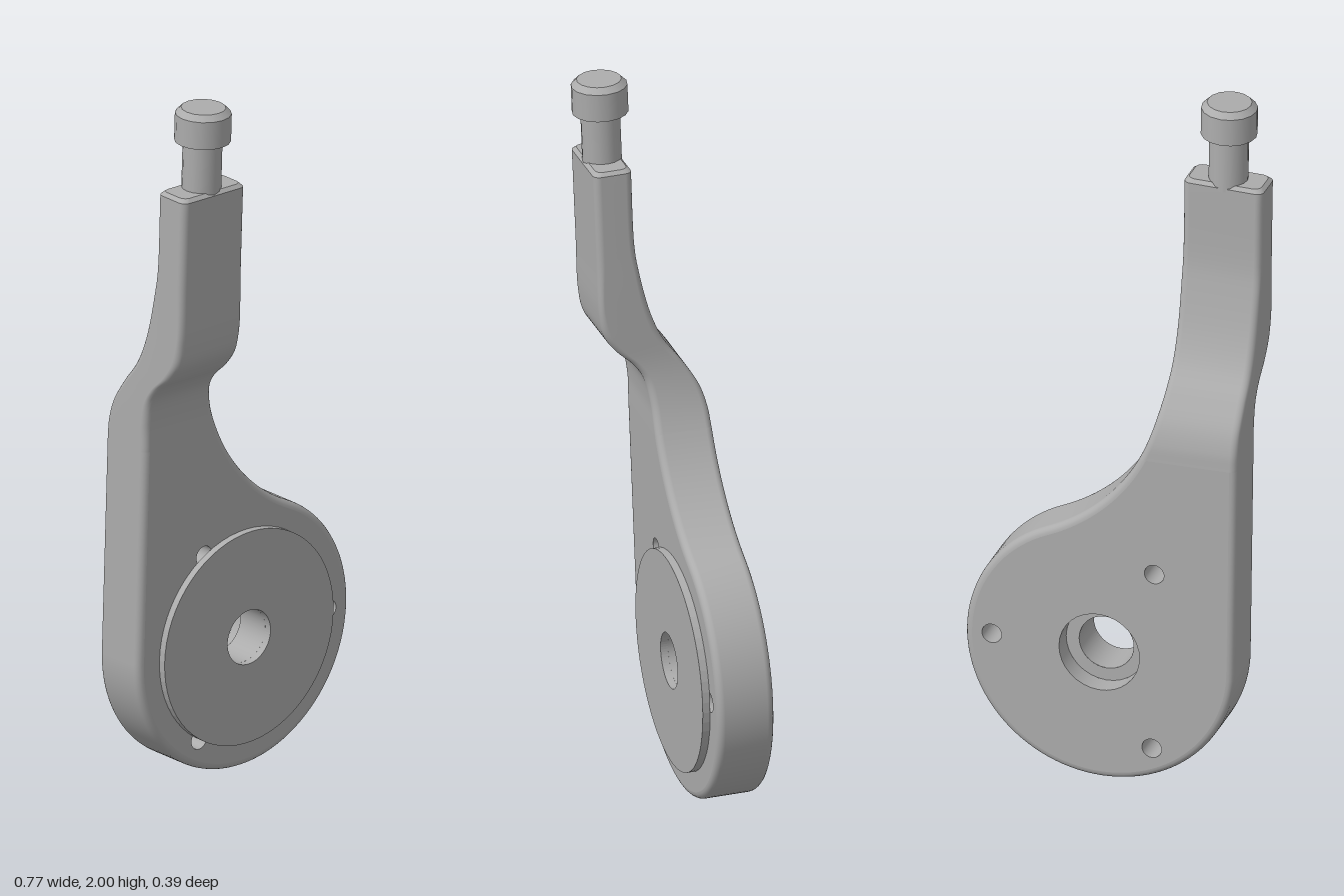
import * as THREE from 'three';

const CY = 0.383, R = 0.383;            // round end of the plate
const FRONT = -0.03, BACK = -0.19;      // plate faces
const SEAM = 1.0, NECK_X = -0.157;      // where the neck starts, its right edge
const FILLET = 0.55;                    // concave arc between neck and round end
const FX = NECK_X + FILLET, FY = CY + Math.sqrt((R + FILLET) ** 2 - FX ** 2);
const EDGE = 0.02;                      // rounding of the long edges

const steel = new THREE.MeshStandardMaterial({ color: 0xacacac, side: THREE.DoubleSide });
steel.name = 'steel grey';

function part(name, geometry, parent) {
  const mesh = new THREE.Mesh(geometry, steel);
  mesh.name = name;
  parent.add(mesh);
  return mesh;
}

// Surface through rows of points
function grid(rows, closed) {
  const n = rows[0].length, index = [];
  for (let i = 0; i < rows.length - 1; i++) {
    for (let j = 0; j < (closed ? n : n - 1); j++) {
      const a = i * n + j, b = i * n + (j + 1) % n;
      index.push(a, b, b + n, a, b + n, a + n);
    }
  }
  const g = new THREE.BufferGeometry();
  g.setAttribute('position', new THREE.Float32BufferAttribute(rows.flat(2), 3));
  g.setIndex(index);
  g.computeVertexNormals();
  return g;
}

// Rounded edge profile, front to back: [inset, depth]
function edgeProfile(thickness) {
  const front = [];
  for (let k = 0; k <= 5; k++) {
    const a = (k / 5) * Math.PI / 2;
    front.push([EDGE * (1 - Math.sin(a)), EDGE * (1 - Math.cos(a))]);
  }
  return [...front, ...front.slice().reverse().map(([i, d]) => [i, thickness - d])];
}

// Right edge of the neck at height y, with its outward normal
function rightEdge(y) {
  if (y >= FY) return { x: NECK_X, y, nx: 1, ny: 0 };
  const ny = (FY - y) / FILLET, nx = Math.sqrt(1 - ny * ny);
  return { x: FX - FILLET * nx, y, nx, ny };
}

// Plate outline, counterclockwise from the left seam to the right seam
function plateOutline() {
  const pts = [{ x: -R, y: SEAM, nx: -1, ny: 0 }];
  const end = Math.atan2(FY - CY, FX);
  for (let k = 0; k <= 72; k++) {
    const a = -Math.PI + (Math.PI + end) * k / 72, nx = Math.cos(a), ny = Math.sin(a);
    pts.push({ x: R * nx, y: CY + R * ny, nx, ny });
  }
  const y0 = pts[pts.length - 1].y;
  for (let k = 1; k <= 24; k++) pts.push(rightEdge(y0 + (SEAM - y0) * k / 24));
  return pts;
}

function circlePath(x, y, r) {
  return new THREE.Path().absarc(x, y, r, 0, Math.PI * 2, true);
}

// Open cylinder wall along z
function bore(name, x, y, r, z0, z1, parent) {
  const g = new THREE.CylinderGeometry(r, r, z1 - z0, 32, 1, true).rotateX(Math.PI / 2);
  part(name, g.translate(x, y, (z0 + z1) / 2), parent);
}

function buildPlate(parent) {
  const plate = new THREE.Group();
  plate.name = 'plate';
  parent.add(plate);
  const outline = plateOutline(), profile = edgeProfile(FRONT - BACK);
  part('plateRim', grid(outline.map(p => profile.map(([i, d]) =>
    [p.x - i * p.nx, p.y - i * p.ny, FRONT - d]))), plate);

  const screws = [0, 1, 2].map(k => {
    const a = k * Math.PI * 2 / 3;
    return [0.307 * Math.cos(a), CY + 0.307 * Math.sin(a)];
  });
  const face = (name, z, r) => {
    const shape = new THREE.Shape(outline.map(p =>
      new THREE.Vector2(p.x - EDGE * p.nx, p.y - EDGE * p.ny)));
    shape.holes.push(circlePath(0, CY, r));
    screws.forEach(([x, y]) => shape.holes.push(circlePath(x, y, 0.028)));
    part(name, new THREE.ShapeGeometry(shape, 16).translate(0, 0, z), plate);
  };
  face('plateFront', FRONT, 0.078);
  face('plateBack', BACK, 0.115);
  screws.forEach(([x, y]) => bore('screwHole', x, y, 0.028, BACK, FRONT, plate));

  // Centre hole, wider at the back
  const step = BACK + 0.06;
  bore('counterbore', 0, CY, 0.115, BACK, step, plate);
  bore('centreHole', 0, CY, 0.078, step, FRONT, plate);
  part('counterboreStep', new THREE.RingGeometry(0.078, 0.115, 40).rotateY(Math.PI)
    .translate(0, CY, step), plate);

  // Raised disc on the front
  const disc = new THREE.Shape().absarc(0, CY, 0.307, 0, Math.PI * 2, false);
  disc.holes.push(circlePath(0, CY, 0.078));
  part('raisedDisc', new THREE.ExtrudeGeometry(disc,
    { depth: 0.021, bevelEnabled: false, curveSegments: 32 }).translate(0, 0, FRONT), plate);
}

function buildNeck(parent) {
  // Side profiles as [y, z], paired front and back
  const curve = pts => new THREE.CatmullRomCurve3(pts.map(([y, z]) => new THREE.Vector3(0, y, z)));
  const front = curve([[SEAM, FRONT], [1.08, -0.03], [1.15, -0.018], [1.19, 0.008], [1.235, 0.055],
    [1.285, 0.088], [1.35, 0.099], [1.5, 0.1], [1.76, 0.101]]);
  const back = curve([[SEAM, BACK], [1.05, -0.187], [1.11, -0.171], [1.18, -0.13], [1.25, -0.08],
    [1.33, -0.047], [1.47, -0.016], [1.54, -0.008], [1.76, -0.007]]);
  const rows = [];
  for (let k = 0; k <= 64; k++) {
    const f = front.getPoint(k / 64), b = back.getPoint(k / 64);
    const length = f.distanceTo(b), profile = edgeProfile(length);
    const at = d => f.clone().lerp(b, d / length);
    const right = profile.map(([i, d]) => {
      const p = at(d), e = rightEdge(p.y);
      return [e.x - i * e.nx, p.y - i * e.ny, p.z];
    });
    const left = profile.map(([i, d]) => {
      const p = at(d);
      return [-R + i, p.y, p.z];
    });
    rows.push([...right, ...left.reverse()]);
  }
  // Softened top edge and flat end
  const cx = (NECK_X - R) / 2, cz = 0.047;
  const inset = rows[64].map(([x, y, z]) =>
    [x - 0.01 * Math.sign(x - cx), y + 0.01, z - 0.01 * Math.sign(z - cz)]);
  part('neck', grid(rows, true), parent);
  part('neckTopEdge', grid([rows[64], inset], true), parent);
  part('neckTop', grid([inset, inset.map(() => [cx, 1.77, cz])], true), parent);
}

function buildStud(parent) {
  const stud = new THREE.Group();
  stud.name = 'stud';
  stud.position.set(-0.27, 0, 0.045);
  parent.add(stud);
  const turned = (name, top, bottom, y0, y1) => part(name,
    new THREE.CylinderGeometry(top, bottom, y1 - y0, 16).translate(0, (y0 + y1) / 2, 0), stud);
  turned('studShaft', 0.054, 0.054, 1.75, 1.91);
  turned('studHead', 0.077, 0.077, 1.905, 1.984);
  turned('studChamfer', 0.061, 0.077, 1.984, 2.0);
}

export function createModel() {
  const model = new THREE.Group();
  model.name = 'crankArm';
  const arm = new THREE.Group();
  arm.name = 'arm';
  arm.rotation.x = 0.038; // slight forward lean
  model.add(arm);
  buildPlate(arm);
  buildNeck(arm);
  buildStud(arm);
  return model;
}
